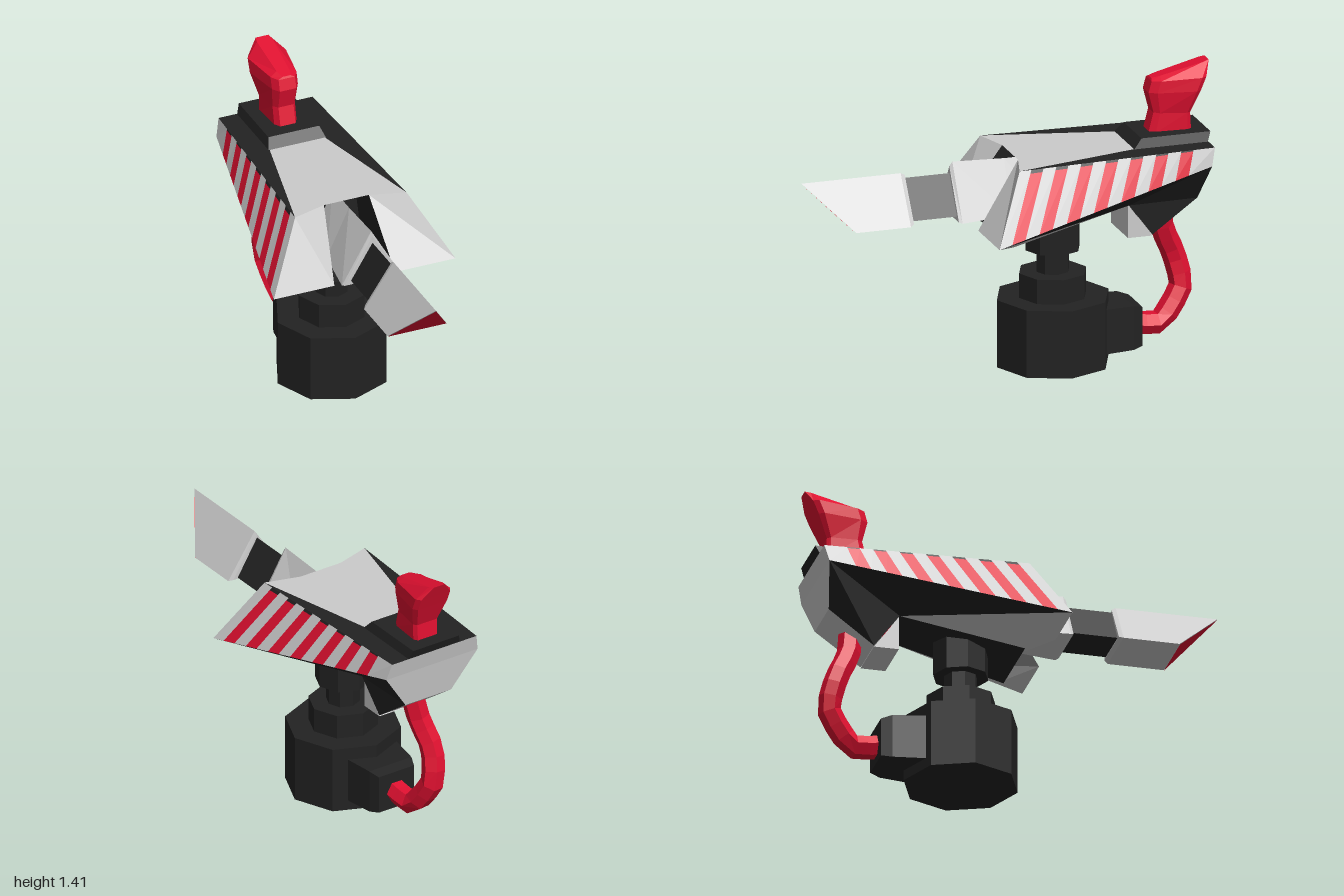
import * as THREE from 'three';

const material = (color) =>
  new THREE.MeshStandardMaterial({ color, flatShading: true, side: THREE.DoubleSide });
const grey = material(0xcccccc);
const black = material(0x222222);
const red = material(0xe01030);

const V = (x, y, z) => new THREE.Vector3(x, y, z);
const mirror = (pts) => pts.map((p) => V(-p.x, p.y, p.z));

// Builds a geometry from convex polygons, each turned to face away from `core`.
function shell(polys, core) {
  const out = [];
  for (const poly of polys) {
    const mid = poly.reduce((s, p) => s.add(p), V(0, 0, 0)).divideScalar(poly.length);
    const n = V(0, 0, 0);
    poly.forEach((p, i) =>
      n.add(p.clone().sub(mid).cross(poly[(i + 1) % poly.length].clone().sub(mid))));
    const face = n.dot(mid.sub(core)) < 0 ? [...poly].reverse() : poly;
    for (let i = 1; i < face.length - 1; i++) out.push(face[0], face[i], face[i + 1]);
  }
  const g = new THREE.BufferGeometry().setFromPoints(out);
  g.computeVertexNormals();
  return g;
}

// Joins matching rings of points into a closed skin.
function loft(rings) {
  const core = V(0, 0, 0);
  rings.flat().forEach((p) => core.add(p));
  core.divideScalar(rings.flat().length);
  const polys = [rings[0], rings[rings.length - 1]];
  for (let r = 0; r < rings.length - 1; r++) {
    rings[r].forEach((p, i) => {
      const j = (i + 1) % rings[r].length;
      polys.push([p, rings[r][j], rings[r + 1][j], rings[r + 1][i]]);
    });
  }
  return shell(polys, core);
}

export function createModel() {
  const model = new THREE.Group();
  const add = (name, geometry, mat, parent = model) => {
    const mesh = new THREE.Mesh(geometry, mat);
    mesh.name = name;
    parent.add(mesh);
    return mesh;
  };

  // Octagonal pedestal
  const drums = [
    ['base', 0.275, 0, 0.33], ['baseStep', 0.165, 0.33, 0.45],
    ['neck', 0.08, 0.45, 0.57], ['turntable', 0.133, 0.56, 0.74],
  ];
  for (const [name, r, y0, y1] of drums) {
    add(name, new THREE.CylinderGeometry(r, r, y1 - y0, 8), black)
      .position.set(0.015, (y0 + y1) / 2, -0.235);
  }

  // Hose socket behind the base
  const socketRing = (z, w, y0, y1) => [V(-w, y0, z), V(w, y0, z), V(w, y1, z), V(-w, y1, z)];
  add('hoseSocket', loft([
    socketRing(-0.4, 0.15, 0.05, 0.27), socketRing(-0.6, 0.12, 0.05, 0.265),
    socketRing(-0.65, 0.1, 0.06, 0.25),
  ]), black);

  // Hose from the base up into the housing
  const hosePath = new THREE.CatmullRomCurve3([
    V(0, 0.15, -0.62), V(-0.01, 0.135, -0.77), V(-0.04, 0.29, -0.885),
    V(-0.06, 0.45, -0.855), V(-0.03, 0.59, -0.79), V(0, 0.74, -0.77),
  ], false, 'catmullrom', 0.3);
  add('hose', new THREE.TubeGeometry(hosePath, 12, 0.056, 6), red);

  // Corner points of the housing, on the +x side
  const core = V(0, 0.87, -0.4);
  const topFront = V(0.285, 1.045, 0.02), lowFront = V(0.465, 0.73, 0.18);
  const lowRear = V(0.26, 0.96, -0.94), topRear = V(0.24, 1.045, -0.96);
  const innerTop = V(0.115, 1.045, -0.03), innerLow = V(0.155, 0.73, 0.18);
  const innerBottom = V(0.155, 0.645, 0.02), podBottom = V(0.2, 0.645, 0.02);
  const bellyMid = V(0.14, 0.77, -0.57), keel = V(0.125, 0.61, -0.69);
  const keelRear = V(0.13, 0.77, -0.91), roofRear = V(0.14, 1.045, -0.6);
  const roofTail = V(0.14, 1.045, -0.96);
  const housing = new THREE.Group();
  housing.name = 'housing';
  model.add(housing);
  const pair = (name, polys, mat) =>
    add(name, shell([...polys, ...polys.map(mirror)], core), mat, housing);
  const across = (name, a, b, mat) =>
    add(name, shell([[a, b, ...mirror([b, a])]], core), mat, housing);

  // Grey cheeks, pods and roof around the barrel opening
  pair('cheeks', [[topFront, lowFront, innerLow, innerTop]], grey);
  pair('pods', [[lowFront, podBottom, innerBottom, innerLow],
    [lowFront, podBottom, bellyMid]], grey);
  across('roof', innerTop, roofRear, grey);
  pair('roofWings', [[innerTop, topFront, roofRear]], grey);

  // Black roof edges, lower flanks and belly
  pair('roofEdges', [[topFront, topRear, roofTail, roofRear]], black);
  across('roofTail', roofRear, roofTail, black);
  pair('flanks', [[lowFront, bellyMid, lowRear], [bellyMid, keel, keelRear, lowRear]], black);
  pair('bellySides', [[podBottom, innerBottom, bellyMid]], black);
  across('belly', innerBottom, bellyMid, black);

  // Dark recess behind the barrel
  const recessTop = V(0.115, 1.04, -0.2), recessLow = V(0.155, 0.7, -0.2);
  pair('recessWalls', [[innerTop, innerLow, recessLow, recessTop],
    [innerLow, innerBottom, recessLow]], black);
  across('recessBack', recessTop, recessLow, black);

  // Grey rear plates and the wedge under the tail
  across('rearPlate', topRear, lowRear, grey);
  across('rearLowerPlate', lowRear, keelRear, grey);
  across('keelRearPlate', keelRear, keel, grey);
  const wedge = [V(0.125, 0.77, -0.57), V(0.125, 0.605, -0.57), V(0.125, 0.605, -0.69)];
  add('keelWedge', loft([wedge, mirror(wedge)]), grey, housing);

  // Striped side panels: strips between the upper and lower edges
  const at = (u, v) => topFront.clone().lerp(topRear, u)
    .lerp(lowFront.clone().lerp(lowRear, u), v);
  const strip = (u0, u1, v0, v1) => [at(u0, v0), at(u1, v0), at(u1, v1), at(u0, v1)];
  const redStrips = [], greyStrips = [], notches = [];
  let u = 0;
  for (let k = 0; k < 7; k++) {
    const start = 0.06 + k * 0.128, end = start + 0.062;
    greyStrips.push(strip(u, start, 0, 1));
    redStrips.push(strip(start, end, 0.05, 1));
    notches.push(strip(start, end, 0, 0.05));
    u = end;
  }
  greyStrips.push(strip(u, 1, 0, 1));
  pair('sidePanels', greyStrips, grey);
  pair('sideStripes', redStrips, red);
  pair('stripeNotches', notches, black);

  // Raised deck carrying the handle
  const deckRing = (y, w, z0, z1) => [V(-w, y, z0), V(w, y, z0), V(w, y, z1), V(-w, y, z1)];
  add('rearDeck', loft([deckRing(1.04, 0.148, -0.59, -0.955),
    deckRing(1.09, 0.13, -0.635, -0.975)]), black);

  // Flared handle: eight-sided sections as [front z, front y, back z, back y, front w, back w]
  const handleRings = [
    [-0.7, 1.085, -0.905, 1.085, 0.055, 0.068],
    [-0.725, 1.18, -0.9, 1.17, 0.055, 0.07],
    [-0.7, 1.28, -0.945, 1.28, 0.06, 0.102],
    [-0.715, 1.335, -0.972, 1.345, 0.06, 0.102],
    [-0.72, 1.345, -1, 1.41, 0.03, 0.04],
  ].map(([zf, yf, zb, yb, wf, wb]) => {
    const p = (t, k) => V(k * (wf + (wb - wf) * t), yf + (yb - yf) * t, zf + (zb - zf) * t);
    const half = [[0, 0.7], [0.15, 1], [0.9, 1], [1, 0.8]];
    return [...half.map(([t, k]) => p(t, k)), ...half.reverse().map(([t, k]) => p(t, -k))];
  });
  add('handle', loft(handleRings), red);

  // Three-sided barrel
  const tri = (z, w, low, top) => [V(0, top, z), V(w, low, z), V(-w, low, z)];
  add('barrelRoot', loft([tri(-0.19, 0.1, 0.78, 1.02), tri(0, 0.115, 0.775, 1.02),
    tri(0.255, 0.15, 0.77, 1.03), tri(0.27, 0.14, 0.775, 1.01)]), grey);
  add('barrelNeck', loft([tri(0.25, 0.11, 0.795, 0.975), tri(0.51, 0.11, 0.795, 0.975)]), black);
  const tipEnd = [V(0, 1, 1), V(0.15, 0.78, 0.78), V(-0.15, 0.78, 0.78)];
  add('barrelTip', loft([tri(0.49, 0.135, 0.79, 0.99), tri(0.51, 0.15, 0.78, 1), tipEnd]), grey);

  // Red cut face at the muzzle
  add('muzzleFace', shell([tipEnd.map((p) => V(p.x, p.y - 0.002, p.z + 0.002))],
    V(0, 0.9, 0.6)), red);

  return model;
}
